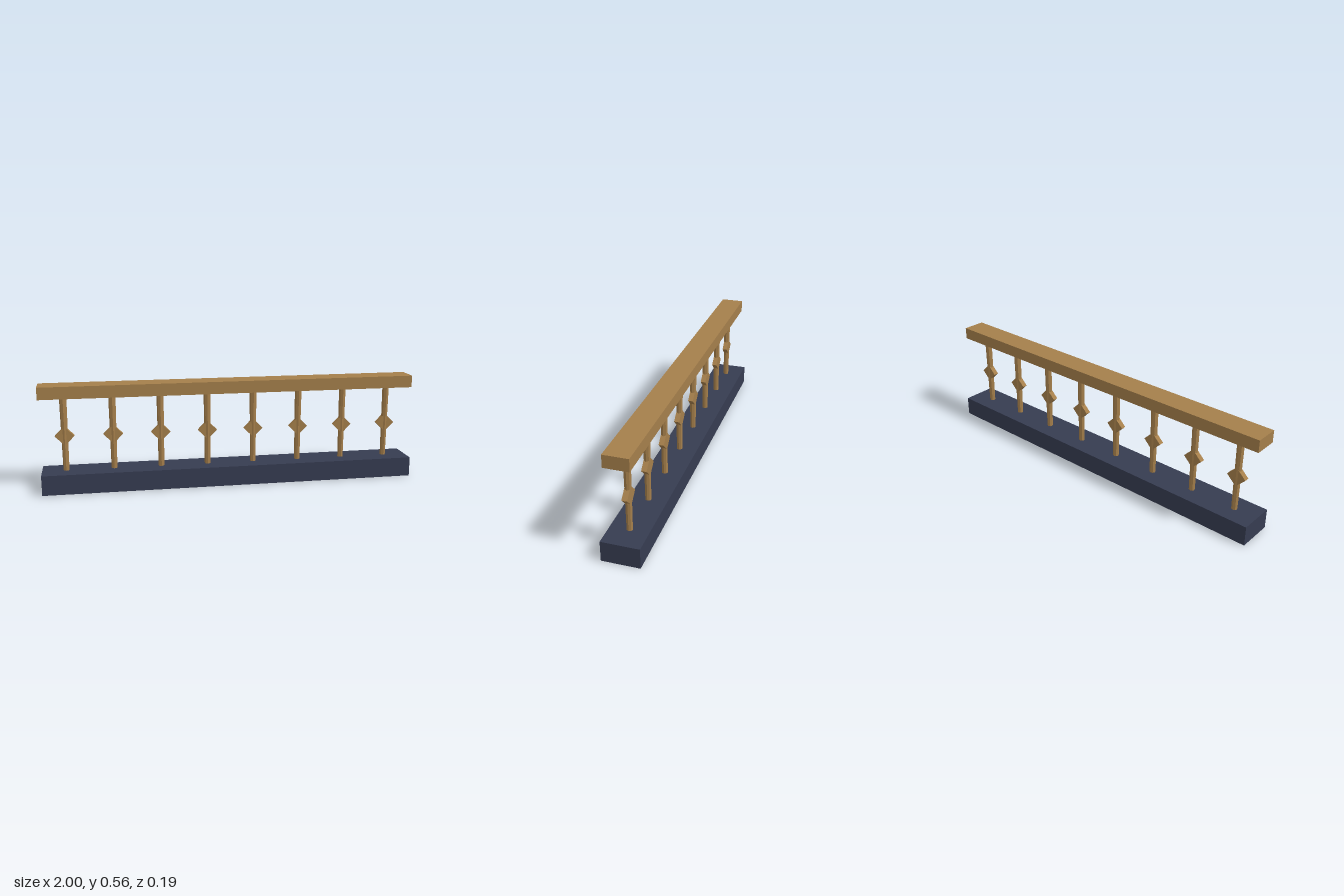
import * as THREE from 'three';

export function createModel() {
  const group = new THREE.Group();
  group.name = 'balustrade';
  const wood = new THREE.MeshStandardMaterial({ color: 0xa57f4b });
  wood.name = 'warm wood';
  const slate = new THREE.MeshStandardMaterial({ color: 0x363c51 });
  slate.name = 'dark slate';

  const add = (parent, name, geometry, material, y) => {
    const mesh = new THREE.Mesh(geometry, material);
    mesh.name = name;
    mesh.position.y = y;
    parent.add(mesh);
    return mesh;
  };

  // Plinth and handrail
  const baseTop = 0.105, railBottom = 0.496, railTop = 0.56;
  add(group, 'base', new THREE.BoxGeometry(2, baseTop, 0.19), slate, baseTop / 2);
  add(group, 'handrail', new THREE.BoxGeometry(2, railTop - railBottom, 0.124), wood, (railTop + railBottom) / 2);

  // Tapered eight-sided spindle, faceted by splitting its vertices
  const height = railBottom - baseTop;
  const spindle = new THREE.CylinderGeometry(0.0188, 0.0155, height, 8).toNonIndexed();
  spindle.computeVertexNormals();
  const diamond = new THREE.BoxGeometry(0.071, 0.071, 0.027).rotateZ(Math.PI / 4);

  // Row of balusters, each with a diamond ornament
  const count = 8, spacing = 0.25;
  for (let i = 0; i < count; i++) {
    const baluster = new THREE.Group();
    baluster.name = 'baluster';
    baluster.position.x = (i - (count - 1) / 2) * spacing;
    add(baluster, 'spindle', spindle, wood, baseTop + height / 2);
    add(baluster, 'diamondOrnament', diamond, wood, 0.291);
    group.add(baluster);
  }
  return group;
}
